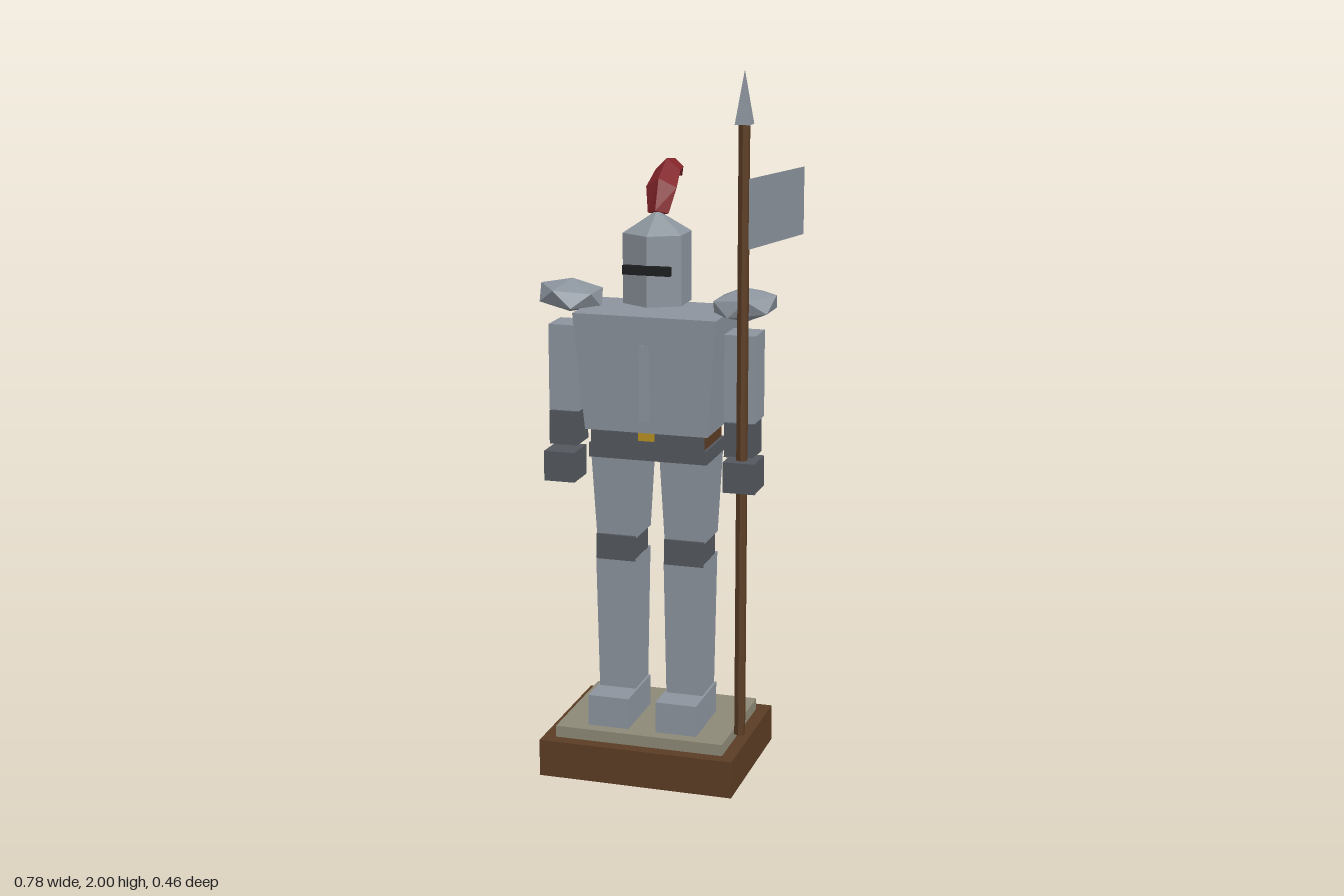
import * as THREE from 'three';

const mat = (color) => new THREE.MeshStandardMaterial({ color, flatShading: true });

export function createModel() {
  const root = new THREE.Group();
  const steel = mat(0x8b939c), dark = mat(0x53575d), black = mat(0x1c1e20);
  const wood = mat(0x5a3c24), stone = mat(0x8c8876), red = mat(0x84252a), gold = mat(0xb8901f);
  const CX = -0.049; // body centre line

  const add = (name, geo, material, x = 0, y = 0, z = 0) => {
    const mesh = new THREE.Mesh(geo, material);
    mesh.name = name;
    mesh.position.set(x, y, z);
    root.add(mesh);
    return mesh;
  };

  // Block given by its ranges; the lower face may be scaled to taper it
  const block = (name, material, [x0, x1], [y0, y1], [z0, z1], sx = 1, sz = 1) => {
    const g = new THREE.BoxGeometry(x1 - x0, y1 - y0, z1 - z0);
    const p = g.attributes.position;
    for (let i = 0; i < p.count; i++) {
      if (p.getY(i) < 0) p.setXYZ(i, p.getX(i) * sx, p.getY(i), p.getZ(i) * sz);
    }
    g.computeVertexNormals();
    return add(name, g, material, (x0 + x1) / 2, (y0 + y1) / 2, (z0 + z1) / 2);
  };
  const around = (c, half) => [c - half, c + half];

  // Stand
  block('base', wood, [-0.332, 0.234], [0, 0.107], [-0.22, 0.23]);
  block('plinth', stone, [-0.295, 0.197], [0.107, 0.14], [-0.18, 0.193]);

  // Legs, pauldrons
  for (const [side, s] of [['right', -1], ['left', 1]]) {
    const x = CX + s * 0.1;
    block(side + 'Foot', steel, around(x, 0.06), [0.14, 0.23], [-0.05, 0.157]);
    block(side + 'Shin', steel, around(x, 0.059), [0.15, 0.623], [-0.058, 0.08], 0.89, 0.85);
    block(side + 'Knee', dark, around(x, 0.058), [0.615, 0.688], [-0.037, 0.08]);
    block(side + 'Thigh', steel, around(x, 0.07), [0.682, 0.93], [-0.075, 0.083], 0.83, 0.86);

    const ico = new THREE.IcosahedronGeometry(0.102, 0);
    ico.rotateX(-Math.atan((1 + Math.sqrt(5)) / 2));
    ico.rotateY(s * 0.3);
    ico.scale(1, 0.47, 1);
    const pauldron = add(side + 'Pauldron', ico, steel, CX + s * 0.252, 1.356, 0.003);
    pauldron.rotation.z = s * 0.1;
  }

  // Arms; the left hand reaches forward to hold the spear
  for (const [side, x, handX, handY, handZ] of [
    ['right', -0.306, -0.307, 0.882, 0.053],
    ['left', 0.204, 0.223, 0.898, 0.083],
  ]) {
    block(side + 'UpperArm', steel, around(x, 0.044), [1.035, 1.28], [-0.04, 0.06]);
    block(side + 'Forearm', dark, around(x, 0.041), [0.938, 1.035], [-0.025, 0.07]);
    block(side + 'Hand', dark, around(handX, 0.045), around(handY, 0.043), around(handZ, 0.052));
  }

  // Torso
  block('hips', dark, around(CX, 0.171), [0.918, 0.958], [-0.085, 0.1]);
  block('belt', wood, around(CX, 0.163), [0.956, 1.002], [-0.082, 0.098]);
  block('beltFront', dark, around(CX, 0.163), [0.956, 1.002], [0.094, 0.102]);
  block('buckle', gold, around(CX, 0.022), [0.977, 1.002], [0.09, 0.112]);
  block('breastplate', steel, around(CX, 0.205), [1.0, 1.33], [-0.117, 0.131], 0.865, 0.85);
  block('chestRidge', steel, around(CX, 0.014), [1.037, 1.25], [0.1, 0.129]);

  // Helmet
  add('helmet', new THREE.CylinderGeometry(0.097, 0.097, 0.195, 6), steel, CX, 1.4475, 0.003);
  add('helmetTop', new THREE.ConeGeometry(0.097, 0.06, 6), steel, CX, 1.575, 0.003);
  block('visorSlit', black, around(CX, 0.068), [1.44, 1.465], [0.09, 0.107]);

  // Plume: diamond sections [outer y, outer z, inner y, inner z, half width]
  const sections = [
    [1.605, 0.022, 1.585, -0.035, 0.03],
    [1.69, -0.01, 1.635, -0.063, 0.044],
    [1.736, -0.085, 1.668, -0.11, 0.036],
    [1.727, -0.165, 1.682, -0.162, 0.025],
    [1.671, -0.229, 1.669, -0.227, 0.002],
  ];
  const verts = [], faces = [];
  for (const [oy, oz, iy, iz, w] of sections) {
    const my = (oy + iy) / 2, mz = (oz + iz) / 2;
    verts.push(CX, oy, oz, CX + w, my, mz, CX, iy, iz, CX - w, my, mz);
  }
  for (let i = 0; i < sections.length - 1; i++) {
    for (let j = 0; j < 4; j++) {
      const a = i * 4 + j, b = i * 4 + (j + 1) % 4;
      faces.push(a, b, b + 4, a, b + 4, a + 4);
    }
  }
  faces.push(0, 2, 1, 0, 3, 2);
  const plume = new THREE.BufferGeometry();
  plume.setAttribute('position', new THREE.Float32BufferAttribute(verts, 3));
  plume.setIndex(faces);
  plume.computeVertexNormals();
  const plumeMat = red.clone();
  plumeMat.side = THREE.DoubleSide;
  add('plume', plume, plumeMat);

  // Spear with pennant
  const SX = 0.222, SZ = 0.097;
  add('spearShaft', new THREE.CylinderGeometry(0.016, 0.016, 1.72, 6), wood, SX, 1.0, SZ);
  const tip = new THREE.ConeGeometry(0.03, 0.143, 4);
  tip.rotateY(Math.PI / 4);
  add('spearTip', tip, steel, SX, 1.9285, SZ);
  const flag = new THREE.Shape([[0.232, 1.522], [0.386, 1.573], [0.386, 1.752], [0.232, 1.712]]
    .map(([x, y]) => new THREE.Vector2(x, y)));
  const flagMat = steel.clone();
  flagMat.side = THREE.DoubleSide;
  add('pennant', new THREE.ShapeGeometry(flag), flagMat, 0, 0, SZ);

  return root;
}
